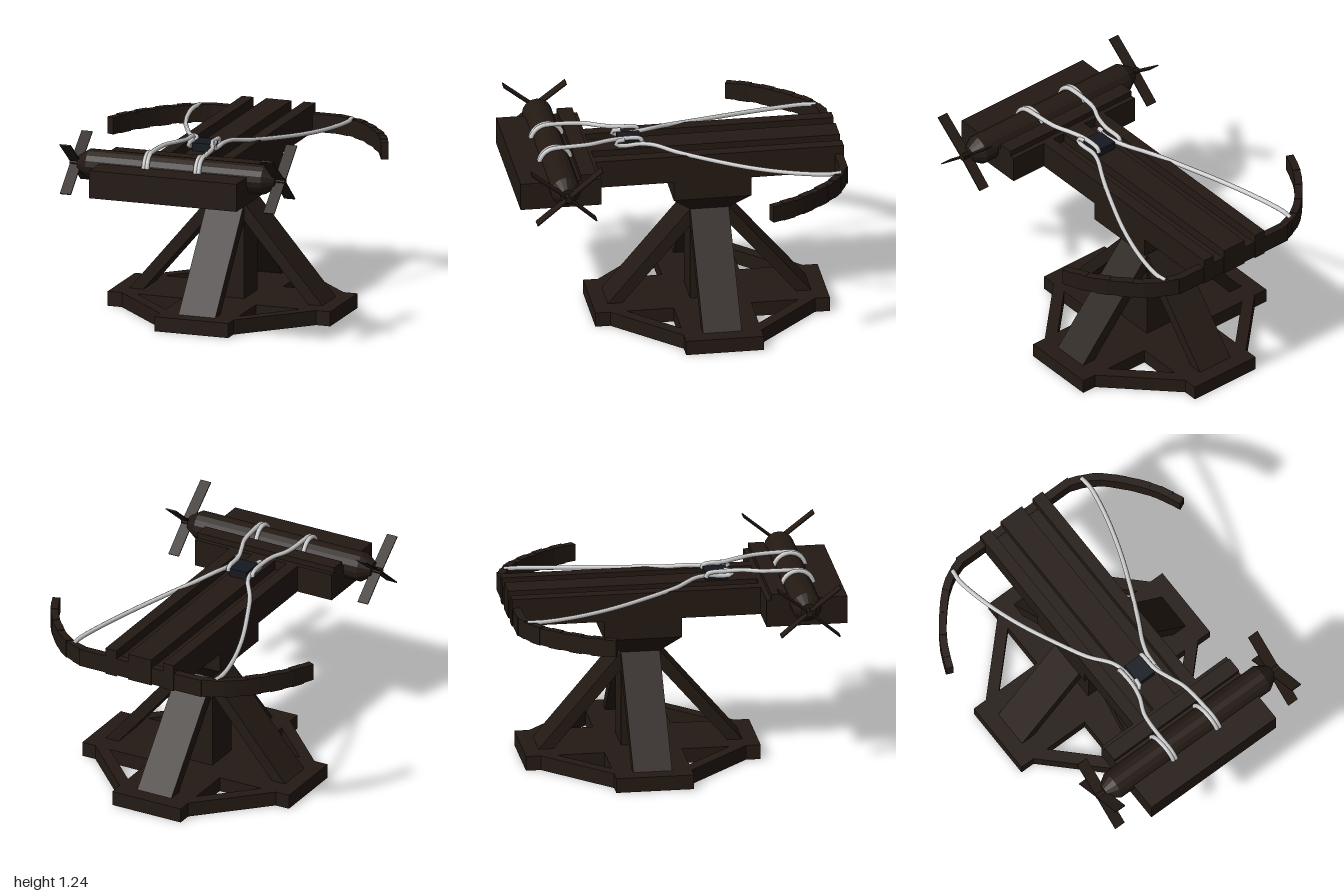
import * as THREE from 'three';

const wood = new THREE.MeshStandardMaterial({ color: 0x241a14, flatShading: true });
const darkIron = new THREE.MeshStandardMaterial({ color: 0x161a20, flatShading: true });
const rope = new THREE.MeshStandardMaterial({ color: 0xcccccc });

const BASE_Z = -0.2;                 // centre of the stand
const DRUM = { y: 1.065, z: 0.74 };  // winch axis

export function createModel() {
  const model = new THREE.Group();

  const add = (name, geometry, material = wood, parent = model) => {
    const mesh = new THREE.Mesh(geometry, material);
    mesh.name = name;
    parent.add(mesh);
    return mesh;
  };
  // Box given by its limits on each axis
  const box = (name, x0, x1, y0, y1, z0, z1, material = wood, parent = model) => {
    const mesh = add(name, new THREE.BoxGeometry(x1 - x0, y1 - y0, z1 - z0), material, parent);
    mesh.position.set((x0 + x1) / 2, (y0 + y1) / 2, (z0 + z1) / 2);
    return mesh;
  };
  const polygon = (pts) => new THREE.Shape(pts.map(([x, y]) => new THREE.Vector2(x, y)));
  const tube = (name, pts, segments = 48) => {
    const curve = new THREE.CatmullRomCurve3(pts.map((p) => new THREE.Vector3(...p)));
    return add(name, new THREE.TubeGeometry(curve, segments, 0.014, 8), rope);
  };

  // ---- Stand: cross-shaped base with diagonal ties ----
  const stand = new THREE.Group();
  stand.name = 'stand';
  stand.position.z = BASE_Z;
  model.add(stand);

  const outline = [], holes = [];
  for (let i = 0; i < 4; i++) {
    const c = Math.round(Math.cos(i * Math.PI / 2)), s = Math.round(Math.sin(i * Math.PI / 2));
    const turn = ([x, y]) => [x * c - y * s, x * s + y * c];
    outline.push(...[[0.71, -0.235], [0.71, 0.235], [0.62, 0.235], [0.235, 0.62]].map(turn));
    holes.push(polygon([[0.235, 0.235], [0.235, 0.52], [0.52, 0.235]].map(turn)));
  }
  const baseShape = polygon(outline);
  baseShape.holes.push(...holes);
  add('base', new THREE.ExtrudeGeometry(baseShape, { depth: 0.09, bevelEnabled: false })
    .rotateX(-Math.PI / 2), wood, stand);

  // Column, flared neck and head block
  box('column', -0.117, 0.117, 0.08, 0.69, -0.117, 0.117, wood, stand);
  const neck = new THREE.CylinderGeometry(0.235 * Math.SQRT2, 0.117 * Math.SQRT2, 0.12, 4);
  add('neck', neck.rotateY(Math.PI / 4), wood, stand).position.y = 0.74;
  box('headBlock', -0.235, 0.235, 0.8, 0.925, -0.235, 0.235, wood, stand);

  // Four slanted braces
  const braceShape = polygon([[0.1, 0.59], [0.53, 0.085], [0.62, 0.085], [0.117, 0.68], [0.1, 0.68]]);
  const braceGeometry = new THREE.ExtrudeGeometry(braceShape, { depth: 0.234, bevelEnabled: false })
    .translate(0, 0, -0.117);
  for (let i = 0; i < 4; i++) add('brace', braceGeometry, wood, stand).rotation.y = i * Math.PI / 2;

  // ---- Stock: grooved bed with three rails ----
  box('stockBed', -0.23, 0.23, 0.92, 1.03, -0.94, 0.52);
  box('centreRail', -0.08, 0.08, 0.92, 1.09, -0.995, 0.52);
  for (const s of [-1, 1]) {
    box('sideRail', s * 0.1975 - 0.0375, s * 0.1975 + 0.0375, 0.92, 1.09, -0.995, 0.52);
  }
  box('winchBed', -0.47, 0.47, 0.92, 1.09, 0.51, 1);
  box('winchStop', -0.47, 0.47, 1.08, 1.125, 0.54, 0.635);
  box('trigger', -0.06, 0.06, 1.08, 1.14, 0.2, 0.34, darkIron);

  // ---- Bow: straight middle and curved limbs of short overlapping blocks ----
  box('bowMiddle', -0.42, 0.42, 0.925, 1.035, -0.99, -0.94);
  const limb = new THREE.CatmullRomCurve3(
    [[0.40, -0.965], [0.48, -0.935], [0.575, -0.88], [0.73, -0.715], [0.815, -0.59], [0.873, -0.462]]
      .map(([x, z]) => new THREE.Vector3(x, 0.98, z)));
  const SEGMENTS = 10;
  for (const s of [-1, 1]) {
    for (let i = 0; i < SEGMENTS; i++) {
      const a = limb.getPointAt(i / SEGMENTS), b = limb.getPointAt((i + 1) / SEGMENTS);
      const height = i % 2 ? 0.104 : 0.112;
      const block = add('bowLimb', new THREE.BoxGeometry(a.distanceTo(b) + 0.012, height, 0.046));
      block.position.set(s * (a.x + b.x) / 2, 0.98, (a.z + b.z) / 2);
      block.rotation.y = -s * Math.atan2(b.z - a.z, b.x - a.x);
    }
  }

  // ---- Winch: drum with tapered ends ----
  const profile = [[0, -0.63], [0.045, -0.63], [0.09, -0.56], [0.09, 0.56], [0.045, 0.63], [0, 0.63]];
  const drum = new THREE.LatheGeometry(profile.map(([r, y]) => new THREE.Vector2(r, y)), 16);
  add('winchDrum', drum.rotateZ(-Math.PI / 2)).position.set(0, DRUM.y, DRUM.z);

  // Thin crank blades, described by their tips (z, y)
  const tips = {
    '1': [[0.963, 1.238], [0.535, 1.235], [0.57, 0.915], [0.93, 0.908]],
    '-1': [[0.93, 1.215], [0.55, 1.21], [0.57, 0.92], [0.925, 0.91]],
  };
  for (const s of [-1, 1]) {
    const crank = new THREE.Group();
    crank.name = 'crank';
    crank.position.set(s * 0.65, DRUM.y, DRUM.z);
    model.add(crank);
    add('crankHub', new THREE.CylinderGeometry(0.02, 0.02, 0.07, 8).rotateZ(Math.PI / 2), wood, crank);
    for (const [z, y] of tips[s]) {
      const dz = z - DRUM.z, dy = y - DRUM.y;
      const blade = add('crankBlade', new THREE.BoxGeometry(0.07, 0.007, Math.hypot(dz, dy)), wood, crank);
      blade.position.set(0, dy / 2, dz / 2);
      blade.rotation.x = -Math.atan2(dy, dz);
    }
  }

  // ---- Ropes: bowstring halves, hooked to the trigger ----
  for (const s of [-1, 1]) {
    const end = s > 0 ? 0.092 : 0.073;
    tube('bowstring', [
      [s * 0.485, 1.03, -0.94], [s * 0.492, 1.03, -0.86], [s * 0.455, 1.035, -0.66], [s * 0.38, 1.05, -0.42],
      [s * 0.28, 1.075, -0.18], [s * 0.19, 1.1, 0.01], [s * (end + 0.03), 1.125, 0.14],
      [s * (end + 0.005), 1.125, 0.22], [s * end, 1.117, 0.31], [s * end, 1.125, 0.36],
      [s * (end - 0.005), 1.145, 0.36], [s * (end - 0.012), 1.15, 0.31]], 64);
  }

  // Winch ropes run from the trigger and wrap over the drum
  const wrap = (x0, x1, from, to) => {
    const pts = [];
    for (let i = 0; i <= 7; i++) {
      const t = i / 7, a = from + (to - from) * t;
      pts.push([x0 + (x1 - x0) * t, DRUM.y + 0.1 * Math.cos(a), DRUM.z + 0.1 * Math.sin(a)]);
    }
    return pts;
  };
  const winchRopes = [
    { hook: [0.065, 0.07, 0.1, 0.14], drum: [0.16, 0.172], coil: [0.125, 0.152] },
    { hook: [-0.1, -0.098, -0.115, -0.16], drum: [-0.17, -0.157], coil: [-0.2, -0.178] },
  ];
  for (const { hook, drum: d, coil } of winchRopes) {
    tube('winchRope', [
      [hook[0], 1.12, 0.2], [hook[0], 1.145, 0.21], [hook[1], 1.155, 0.33],
      [hook[2], 1.162, 0.42], [hook[3], 1.165, 0.53], ...wrap(d[0], d[1], 0, 2)], 64);
    tube('winchRopeCoil', wrap(coil[0], coil[1], -1.6, 2), 32);
  }

  return model;
}
